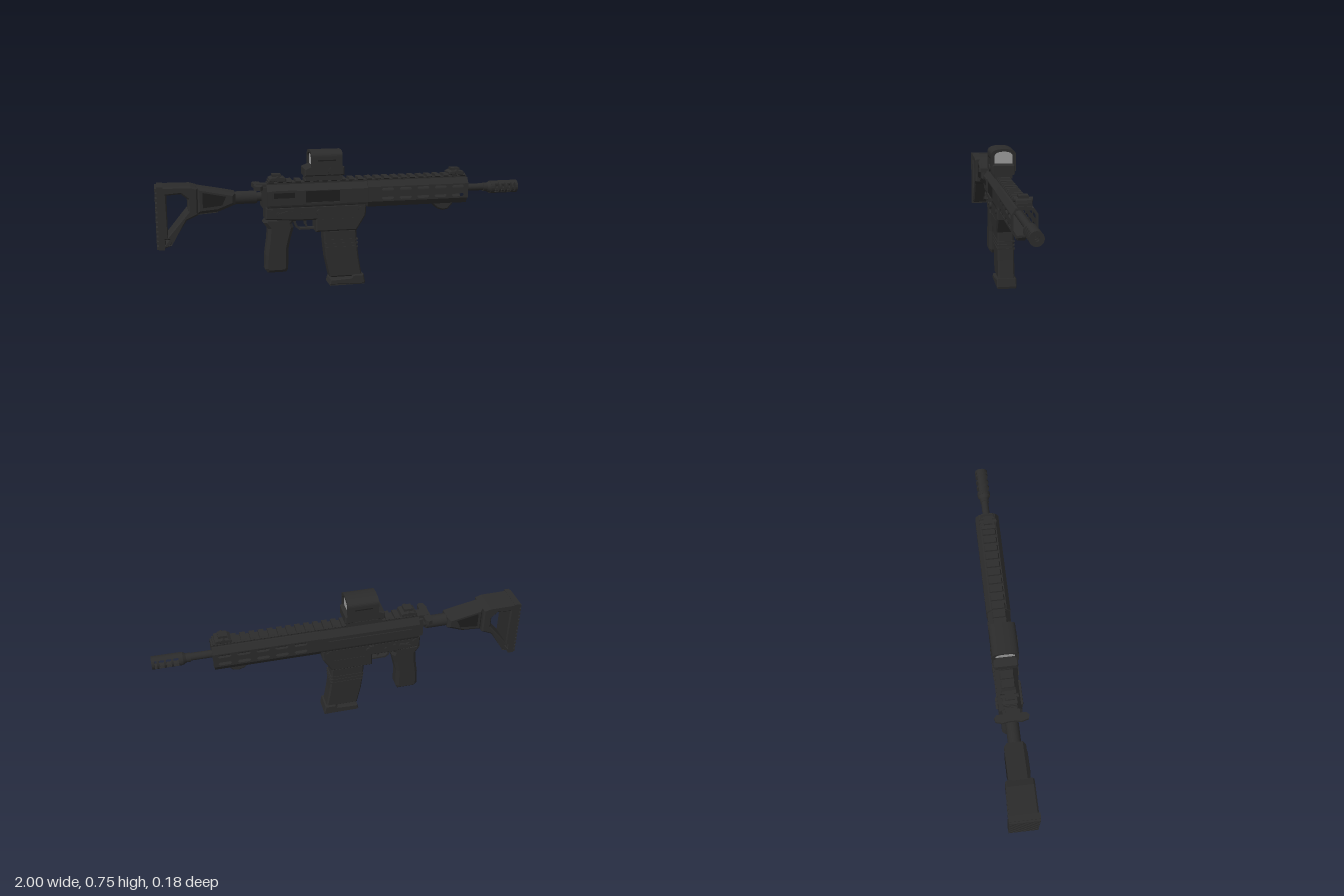
import * as THREE from 'three';

const mat = (name, color, side = THREE.FrontSide) => {
  const m = new THREE.MeshStandardMaterial({ color, side });
  m.name = name;
  return m;
};

export function createModel() {
  const root = new THREE.Group();
  root.name = 'rifle';
  const body = mat('charcoal', 0x2b2b2b);
  const dark = mat('darkRecess', 0x1d1d1d);
  const glass = mat('lensGrey', 0x999999, THREE.DoubleSide);

  const add = (name, geo, m = body, parent = root) => {
    const mesh = new THREE.Mesh(geo, m);
    mesh.name = name;
    parent.add(mesh);
    return mesh;
  };
  const group = (name) => {
    const g = new THREE.Group();
    g.name = name;
    root.add(g);
    return g;
  };
  // box given by its x, y and z limits
  const box = (name, x0, x1, y0, y1, z0, z1, m, parent) =>
    add(name, new THREE.BoxGeometry(x1 - x0, y1 - y0, z1 - z0)
      .translate((x0 + x1) / 2, (y0 + y1) / 2, (z0 + z1) / 2), m, parent);
  const poly = (pts, holes = []) => {
    const s = new THREE.Shape(pts.map((p) => new THREE.Vector2(...p)));
    s.holes = holes.map((h) => new THREE.Path(h.map((p) => new THREE.Vector2(...p))));
    return s;
  };
  const rect = (x0, x1, y0, y1) => [[x0, y0], [x0, y1], [x1, y1], [x1, y0]];
  // side profile extruded across z, with chamfered edges
  const side = (name, pts, width, bevel = 0, holes = [], m = body, parent = root, z = 0) => {
    const g = new THREE.ExtrudeGeometry(poly(pts, holes), {
      depth: width - 2 * bevel, bevelEnabled: bevel > 0, bevelThickness: bevel,
      bevelSize: bevel, bevelOffset: -bevel, bevelSegments: 1, curveSegments: 6,
    });
    return add(name, g.translate(0, 0, z - width / 2 + bevel), m, parent);
  };
  // (z, y) cross-section extruded along x
  const along = (name, shape, x0, x1, m = body, parent = root) =>
    add(name, new THREE.ExtrudeGeometry(shape, { depth: x1 - x0, bevelEnabled: false, curveSegments: 10 })
      .rotateY(Math.PI / 2).translate(x0, 0, 0), m, parent);
  const rod = (name, x0, x1, y, r0, r1 = r0, m = body, parent = root, n = 20) =>
    add(name, new THREE.CylinderGeometry(r1, r0, x1 - x0, n).rotateZ(-Math.PI / 2)
      .translate((x0 + x1) / 2, y, 0), m, parent);
  const pin = (name, x, y, r, half, parent) =>
    add(name, new THREE.CylinderGeometry(r, r, half * 2, 14).rotateX(Math.PI / 2).translate(x, y, 0), body, parent);

  // --- Stock ---
  const stock = group('stock');
  side('stockFrame', [[-0.97, 0.262], [-0.93, 0.275], [-0.845, 0.405], [-0.785, 0.432], [-0.785, 0.572],
    [-0.82, 0.583], [-0.97, 0.585]], 0.146, 0.008, [
    [[-0.942, 0.54], [-0.87, 0.545], [-0.835, 0.515], [-0.835, 0.455], [-0.855, 0.432], [-0.942, 0.325]],
    rect(-0.955, -0.932, 0.287, 0.308)], body, stock);
  side('stockNeck', [[-0.79, 0.432], [-0.68, 0.44], [-0.59, 0.475], [-0.59, 0.535], [-0.66, 0.55], [-0.79, 0.575]],
    0.112, 0.016, [], body, stock);
  side('stockLatch', [[-0.79, 0.425], [-0.68, 0.432], [-0.68, 0.445], [-0.79, 0.445]], 0.05, 0, [], body, stock);
  for (const s of [-1, 1])
    side('stockCheekPanel', [[-0.76, 0.465], [-0.66, 0.475], [-0.64, 0.52], [-0.76, 0.545]], 0.006, 0, [], dark, stock, s * 0.056);
  box('buttPad', -0.99, -0.96, 0.258, 0.586, -0.079, 0.079, body, stock);
  for (let i = 0; i < 13; i++) {
    const y = 0.262 + i * 0.025;
    box('buttPadRib', -1, -0.988, y, y + 0.016, -0.077, 0.077, body, stock);
  }
  rod('bufferTube', -0.6, -0.475, 0.502, 0.034, 0.034, body, stock);
  rod('bufferTubeEnd', -0.48, -0.44, 0.502, 0.024, 0.024, body, stock);

  // --- Receiver ---
  const receiver = group('receiver');
  side('lowerReceiver', [[-0.435, 0.385], [-0.28, 0.372], [-0.165, 0.372], [-0.165, 0.305], [0.06, 0.305],
    [0.11, 0.385], [0.115, 0.45], [-0.435, 0.45]], 0.108, 0.008, [], body, receiver);
  along('upperReceiver', poly([[-0.056, 0.446], [0.056, 0.446], [0.06, 0.46], [0.06, 0.535], [0.035, 0.568],
    [-0.035, 0.568], [-0.06, 0.535], [-0.06, 0.46]]), -0.425, 0.12, body, receiver);
  box('endPlate', -0.45, -0.42, 0.45, 0.555, -0.045, 0.045, body, receiver);
  box('seam', -0.42, 0.11, 0.447, 0.453, -0.0575, 0.0575, dark, receiver);
  box('ejectionPort', -0.22, -0.035, 0.472, 0.532, 0.058, 0.063, dark, receiver);
  box('portCover', -0.22, -0.035, 0.46, 0.472, 0.058, 0.07, body, receiver);
  box('sidePlate', -0.4, -0.27, 0.487, 0.54, 0.055, 0.067, body, receiver);
  box('sidePlateRecess', -0.39, -0.28, 0.5, 0.528, 0.066, 0.069, dark, receiver);
  box('leftRidge', -0.38, 0.08, 0.505, 0.515, -0.065, -0.058, body, receiver);
  box('boltCatch', -0.17, -0.145, 0.395, 0.44, -0.066, -0.05, body, receiver);
  box('magwellPanel', -0.13, 0.05, 0.325, 0.375, -0.056, 0.056, body, receiver);
  for (const [x, y, r] of [[-0.4, 0.425, 0.012], [-0.24, 0.405, 0.008], [-0.29, 0.42, 0.008], [0.08, 0.425, 0.012]])
    pin('receiverPin', x, y, r, 0.06, receiver);
  pin('magazineButton', -0.145, 0.412, 0.018, 0.064, receiver);
  for (const s of [-1, 1]) {
    const lever = box('selectorLever', -0.03, 0.03, -0.008, 0.008, -0.006, 0.006, body, receiver);
    lever.position.set(-0.345, 0.415, s * 0.064);
    lever.rotation.z = 0.25;
  }
  pin('selectorPivot', -0.365, 0.41, 0.014, 0.062, receiver);

  // --- Charging handle ---
  const handle = group('chargingHandle');
  box('handleBar', -0.49, -0.42, 0.55, 0.572, -0.03, 0.03, body, handle);
  for (const s of [-1, 1]) {
    const wing = add('handleWing', new THREE.ExtrudeGeometry(
      poly([[-0.49, 0.02], [-0.45, 0.02], [-0.45, 0.075], [-0.465, 0.09], [-0.485, 0.085], [-0.495, 0.05]]),
      { depth: 0.022, bevelEnabled: false }).rotateX(Math.PI / 2).translate(0, 0.57, 0), body, handle);
    if (s < 0) wing.rotation.x = Math.PI, wing.position.y = 1.118;
  }

  // --- Trigger, guard and grip ---
  const trigger = group('trigger');
  side('triggerGuard', [[-0.285, 0.375], [-0.27, 0.33], [-0.25, 0.315], [-0.165, 0.315], [-0.165, 0.324],
    [-0.246, 0.325], [-0.262, 0.338], [-0.272, 0.375]], 0.036, 0, [], body, trigger);
  side('triggerBlade', [[-0.225, 0.375], [-0.222, 0.345], [-0.21, 0.326], [-0.204, 0.33], [-0.209, 0.35], [-0.207, 0.375]],
    0.018, 0, [], body, trigger);
  side('grip', [[-0.43, 0.39], [-0.445, 0.365], [-0.42, 0.33], [-0.425, 0.27], [-0.437, 0.19], [-0.44, 0.11],
    [-0.425, 0.09], [-0.325, 0.09], [-0.315, 0.11], [-0.312, 0.22], [-0.298, 0.28], [-0.282, 0.335], [-0.29, 0.355], [-0.275, 0.385]],
  0.088, 0.016);

  // --- Magazine ---
  const magazine = group('magazine');
  side('magazineBody', [[-0.122, 0.31], [-0.118, 0.24], [-0.108, 0.15], [-0.085, 0.045], [0.092, 0.045],
    [0.074, 0.15], [0.063, 0.24], [0.06, 0.31]], 0.09, 0.008, [], body, magazine);
  for (const y of [0.21, 0.23, 0.25])
    box('magazineRib', -0.118 + (0.25 - y) * 0.12, 0.068, y, y + 0.007, -0.048, 0.048, body, magazine);
  side('magazineBase', [[-0.092, 0.006], [0.105, 0], [0.108, 0.012], [0.1, 0.055], [0.04, 0.055], [0.03, 0.04], [-0.085, 0.035]],
    0.108, 0.006, [], body, magazine);
  box('magazineFloor', -0.088, 0.104, 0, 0.012, -0.05, 0.05, body, magazine);

  // --- Handguard: top and bottom shells joined by slotted sides ---
  const guard = group('handguard');
  const shell = (f) => poly([[-0.064, 0.04], [-0.044, 0.07], [0.044, 0.07], [0.064, 0.04], [0.054, 0.04],
    [0.038, 0.06], [-0.038, 0.06], [-0.054, 0.04]].map(([z, y]) => [z, 0.5 + f * y]));
  along('handguardTop', shell(1), 0.12, 0.69, body, guard);
  along('handguardBottom', shell(-1), 0.12, 0.685, body, guard);
  const slots = [];
  for (let i = 0; i < 5; i++)
    for (const y of [0.478, 0.524]) {
      const x = 0.195 + i * 0.1;
      slots.push([[x, y], [x + 0.008, y + 0.009], [x + 0.062, y + 0.009], [x + 0.07, y],
        [x + 0.062, y - 0.009], [x + 0.008, y - 0.009]]);
    }
  for (const s of [-1, 1])
    side('handguardSide', rect(0.12, 0.69, 0.46, 0.54), 0.01, 0, slots, body, guard, s * 0.059);
  for (let i = 0; i < 5; i++)
    box('lowerSlot', 0.2 + i * 0.1, 0.26 + i * 0.1, 0.428, 0.432, -0.012, 0.012, dark, guard);
  side('handStop', [[0.49, 0.432], [0.53, 0.395], [0.56, 0.386], [0.59, 0.392], [0.615, 0.42], [0.615, 0.432]], 0.05, 0.008, [], body, guard);

  // --- Top rail ---
  const rail = group('topRail');
  box('railBase', -0.42, 0.69, 0.562, 0.578, -0.032, 0.032, body, rail);
  for (let i = 0; i < 23; i++) {
    const x = -0.415 + i * 0.0485;
    along('railTooth', poly([[-0.03, 0.574], [0.03, 0.574], [0.038, 0.582], [0.032, 0.592], [-0.032, 0.592], [-0.038, 0.582]]),
      x, x + 0.029, body, rail);
  }

  // --- Folded sights ---
  for (const [name, x] of [['rearSight', -0.41], ['frontSight', 0.585]]) {
    const g = group(name);
    side('sightBase', [[x, 0.585], [x + 0.088, 0.585], [x + 0.085, 0.604], [x + 0.068, 0.608], [x + 0.015, 0.608], [x, 0.6]],
      0.078, 0.004, [], body, g);
    box('sightLeaf', x + 0.018, x + 0.065, 0.605, 0.622, -0.024, 0.024, body, g);
    pin('sightKnob', x + 0.045, 0.6, 0.012, 0.046, g);
  }

  // --- Optic ---
  const optic = group('optic');
  box('opticMount', -0.215, -0.02, 0.584, 0.618, -0.048, 0.048, body, optic);
  side('opticBase', [[-0.225, 0.61], [-0.01, 0.61], [-0.01, 0.655], [-0.03, 0.665], [-0.19, 0.665], [-0.225, 0.65]],
    0.124, 0.006, [], body, optic);
  const arch = (w, y0, y1, top, Ctor) => {
    const s = new Ctor();
    s.moveTo(-w, y0);
    s.lineTo(w, y0);
    s.lineTo(w, y1);
    s.bezierCurveTo(w, top - 0.008, w * 0.55, top, 0, top);
    s.bezierCurveTo(-w * 0.55, top, -w, top - 0.008, -w, y1);
    s.lineTo(-w, y0);
    return s;
  };
  const hood = arch(0.068, 0.625, 0.712, 0.745, THREE.Shape);
  hood.holes.push(arch(0.05, 0.642, 0.703, 0.731, THREE.Path));
  along('opticHood', hood, -0.19, -0.022, body, optic);
  for (const x of [-0.18, -0.03])
    add('lens', new THREE.ShapeGeometry(arch(0.051, 0.641, 0.703, 0.732, THREE.Shape), 10)
      .rotateY(Math.PI / 2).translate(x, 0, 0), glass, optic);
  for (const s of [-1, 1])
    box('hoodGroove', -0.155, -0.06, 0.69, 0.696, s * 0.068 - 0.002, s * 0.068 + 0.002, dark, optic);
  add('opticDial', new THREE.CylinderGeometry(0.02, 0.02, 0.02, 18).rotateX(Math.PI / 2)
    .translate(-0.08, 0.636, 0.065), body, optic);
  box('opticClamp', -0.19, -0.06, 0.597, 0.615, -0.064, -0.04, body, optic);

  // --- Barrel and muzzle brake ---
  const barrel = group('barrel');
  rod('barrelTube', 0.1, 0.82, 0.505, 0.02, 0.02, body, barrel);
  rod('barrelCollar', 0.8, 0.826, 0.503, 0.024, 0.024, body, barrel);
  rod('brakeNeck', 0.822, 0.842, 0.502, 0.024, 0.034, body, barrel);
  const ring = (x0, x1, inner) => {
    const pts = [[inner, x0], [0.035, x0], [0.035, x1], [inner, x1], [inner, x0]].map((p) => new THREE.Vector2(...p));
    return (start, len) => new THREE.LatheGeometry(pts, len > 6 ? 24 : 8, start, len).toNonIndexed()
      .rotateZ(-Math.PI / 2).translate(0, 0.502, 0);
  };
  const brakePart = (name, x0, x1, inner, start = 0, len = Math.PI * 2) => {
    const g = ring(x0, x1, inner)(start, len);
    g.computeVertexNormals();
    add(name, g, barrel.userData.metal ?? brakeMat, barrel);
  };
  const brakeMat = mat('brakeCharcoal', 0x2b2b2b, THREE.DoubleSide);
  brakePart('brakeRear', 0.84, 0.862, 0.01);
  for (const x of [0.888, 0.925, 0.962]) brakePart('brakeBaffle', x, x + 0.011, 0.01);
  brakePart('brakeFront', 0.985, 1, 0.012);
  // ribs above and below leave the side ports open
  for (const mid of [Math.PI / 2, -Math.PI / 2])
    brakePart('brakeRib', 0.86, 0.987, 0.026, mid - 0.72, 1.44);

  return root;
}
